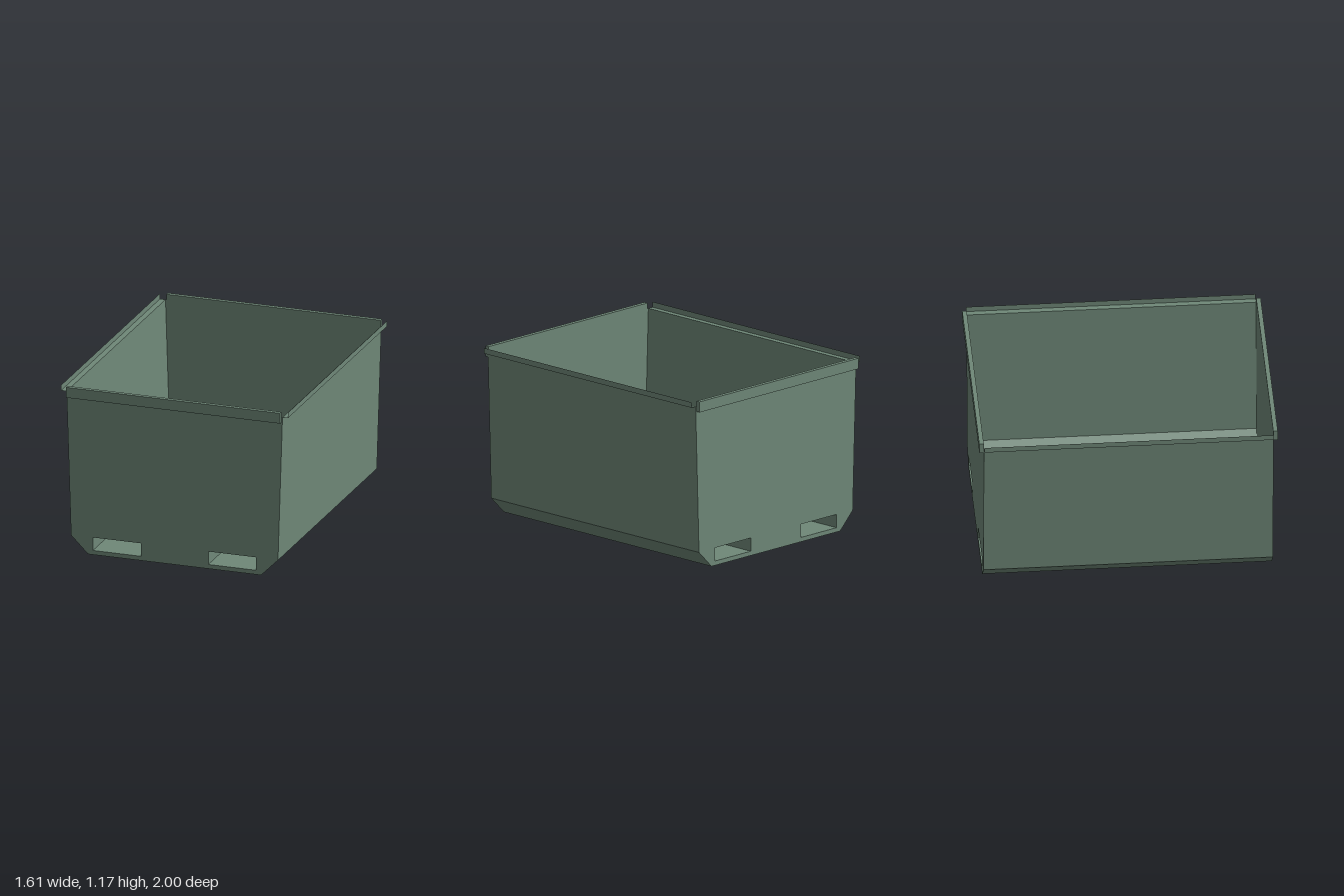
import * as THREE from 'three';

const material = new THREE.MeshStandardMaterial({ color: 0x6f8878, side: THREE.DoubleSide, flatShading: true });
const HALF = 0.97; // half length between the end walls

// Folded sheet: a section in x/y swept along z
function sheet(points) {
  const pos = [];
  for (let i = 0; i < points.length - 1; i++) {
    const [ax, ay] = points[i], [bx, by] = points[i + 1];
    pos.push(ax, ay, HALF, ax, ay, -HALF, bx, by, -HALF);
    pos.push(ax, ay, HALF, bx, by, -HALF, bx, by, HALF);
  }
  const g = new THREE.BufferGeometry();
  g.setAttribute('position', new THREE.Float32BufferAttribute(pos, 3));
  g.computeVertexNormals();
  return g;
}

const toVectors = pts => pts.map(([x, y]) => new THREE.Vector2(x, y));

export function createModel() {
  const group = new THREE.Group();
  const add = (name, geometry) => {
    const mesh = new THREE.Mesh(geometry, material);
    mesh.name = name;
    group.add(mesh);
    return mesh;
  };

  // Floor, chamfers and sloping side walls
  const half = [[0.615, 0], [0.735, 0.12], [0.767, 1.137]];
  const mirrored = half.map(([x, y]) => [-x, y]).reverse();
  add('bodyShell', sheet([...half.slice().reverse(), ...mirrored.slice().reverse()]));

  // Lifting pockets that run through the bin, and the side rims
  const pocket = s => [[0.24 * s, 0.03], [0.58 * s, 0.03], [0.58 * s, 0.122], [0.24 * s, 0.122]];
  for (const [side, s] of [['left', 1], ['right', -1]]) {
    const p = pocket(s);
    add(side + 'PocketTunnel', sheet([...p, p[0]]));
    add(side + 'Rim', sheet([[0.767 * s, 1.137], [0.806 * s, 1.137], [0.806 * s, 1.175]]));
  }

  // End walls with pocket openings, and the end rims
  const outline = new THREE.Shape(toVectors([...mirrored, ...half, [0.76, 1.137], [0.76, 1.175], [-0.76, 1.175], [-0.76, 1.137]]));
  for (const s of [1, -1]) outline.holes.push(new THREE.Path(toVectors(pocket(s))));
  for (const [end, s] of [['front', 1], ['back', -1]]) {
    const wall = add(end + 'Wall', new THREE.ShapeGeometry(outline));
    wall.position.z = HALF * s;
    if (s < 0) wall.rotation.y = Math.PI;
    const rim = add(end + 'Rim', new THREE.BoxGeometry(1.52, 0.073, 0.03));
    rim.position.set(0, 1.1385, 0.985 * s);
  }
  return group;
}
